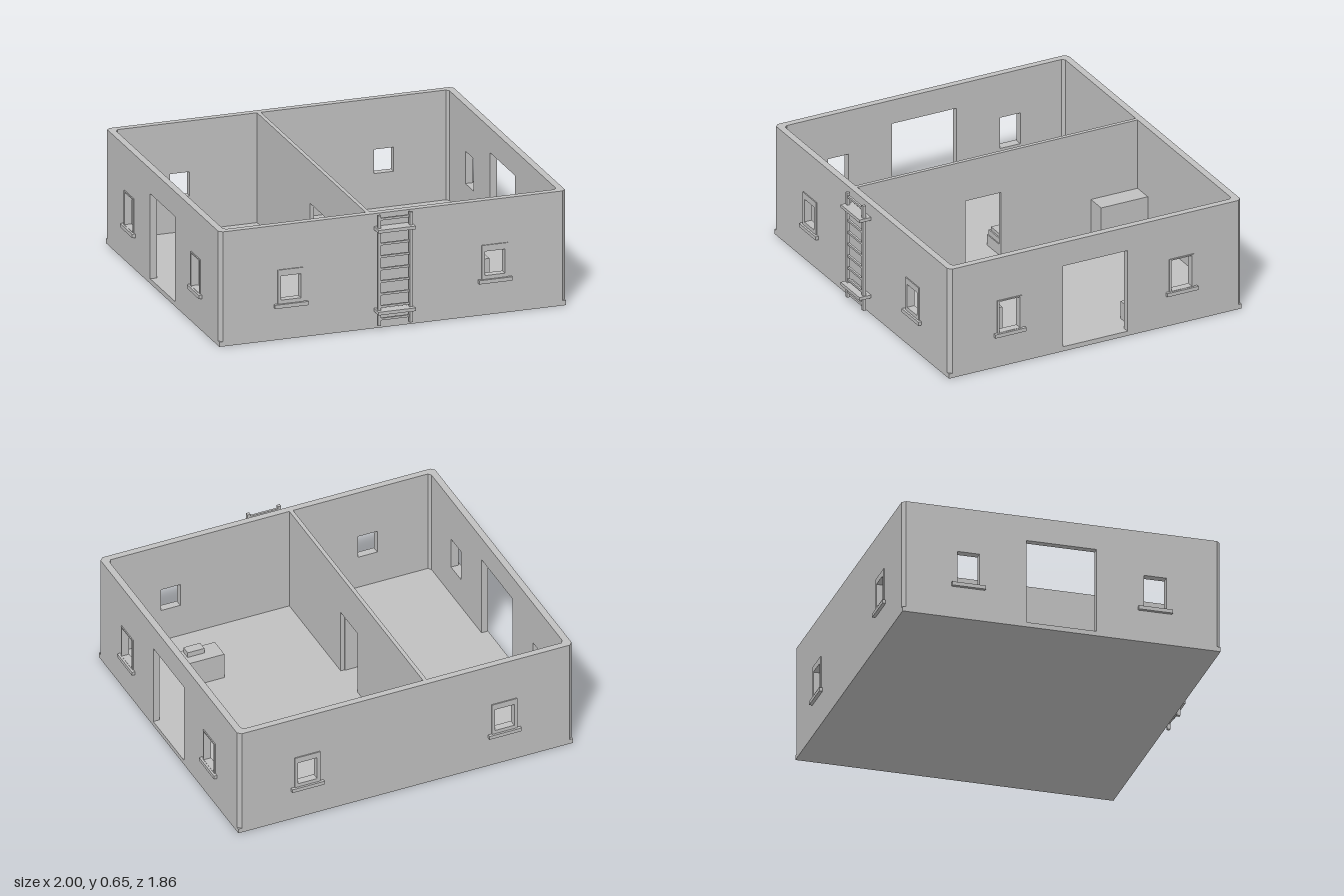
import * as THREE from 'three';

const X = 0.982, ZF = 0.86, ZB = -0.91, T = 0.038; // outer faces, wall thickness
const Y0 = 0.027, Y1 = 0.647; // floor top, wall top

export function createModel() {
  const house = new THREE.Group();
  house.name = 'roofless house';
  const grey = new THREE.MeshStandardMaterial({ color: 0xbfbfbf });
  grey.name = 'plain grey';

  const add = (name, geo, parent = house) => {
    const m = new THREE.Mesh(geo, grey);
    m.name = name;
    parent.add(m);
    return m;
  };
  // Box given by its limits
  const box = (name, x0, x1, y0, y1, z0, z1, parent) => {
    const m = add(name, new THREE.BoxGeometry(x1 - x0, y1 - y0, z1 - z0), parent);
    m.position.set((x0 + x1) / 2, (y0 + y1) / 2, (z0 + z1) / 2);
    return m;
  };
  const rect = (a, b, c, d) => [[a, c], [b, c], [b, d], [a, d]].map(p => new THREE.Vector2(...p));
  const extrude = (shape, depth) => new THREE.ExtrudeGeometry(shape, { depth, bevelEnabled: false });

  // Wall outline along u with an optional doorway and window holes
  const wallShape = (u0, u1, windows, door) => {
    const pts = [[u0, Y0]];
    if (door) pts.push([door[0], Y0], [door[0], door[2]], [door[1], door[2]], [door[1], Y0]);
    pts.push([u1, Y0], [u1, Y1], [u0, Y1]);
    const s = new THREE.Shape(pts.map(p => new THREE.Vector2(...p)));
    windows.forEach(w => s.holes.push(new THREE.Path(rect(...w))));
    return s;
  };
  // Thin raised surround
  const frameShape = (c, w) => {
    const s = new THREE.Shape(rect(c - 0.074, c + 0.074, 0.2, 0.395));
    s.holes.push(new THREE.Path(rect(...w)));
    return s;
  };

  // Floor slab
  box('floor', -X, X, 0, Y0, ZB, ZF);

  // Front and back walls, with window surrounds and sills
  const ends = [-0.578, 0.578];
  const endWin = ends.map(c => [c - 0.056, c + 0.056, 0.224, 0.36]);
  for (const [side, z, out] of [['front', ZF, 1], ['back', ZB, -1]]) {
    add(side + 'Wall', extrude(wallShape(-0.93, 0.93, endWin), T)).position.z = out > 0 ? z - T : z;
    ends.forEach((c, i) => {
      add(side + 'WindowFrame', extrude(frameShape(c, endWin[i]), 0.006)).position.z = out > 0 ? z : z - 0.006;
      const z2 = z + out * 0.018;
      box(side + 'WindowSill', c - 0.094, c + 0.094, 0.182, 0.203, Math.min(z, z2), Math.max(z, z2));
    });
  }

  // Side walls, each with a doorway and two taller windows
  const mids = [0.495, -0.545];
  const sideWin = mids.map(c => [c - 0.062, c + 0.062, 0.205, 0.388]);
  const sideways = (name, shape, depth, xMax) => {
    const m = add(name, extrude(shape, depth));
    m.rotation.y = -Math.PI / 2;
    m.position.x = xMax;
  };
  for (const [side, s] of [['left', 1], ['right', -1]]) {
    sideways(side + 'Wall', wallShape(ZB + 0.055, ZF - 0.055, sideWin, [-0.22, 0.17, 0.507]), T, s > 0 ? X : -X + T);
    mids.forEach((c, i) => {
      sideways(side + 'WindowFrame', frameShape(c, sideWin[i]), 0.006, s > 0 ? X + 0.006 : -X);
      const m = box(side + 'WindowSill', X, 1, 0.182, 0.203, c - 0.094, c + 0.094);
      m.position.x *= s;
    });
  }

  // Corner posts, chamfered outside and inside
  for (const sx of [1, -1]) for (const sz of [1, -1]) {
    const edge = sz > 0 ? ZF : ZB;
    const pts = [[0.93, 0], [0.962, 0], [X, 0.02], [X, 0.055], [X - T, 0.055], [0.93, T]]
      .map(([x, d]) => new THREE.Vector2(sx * x, -(edge - sz * d)));
    const post = add('cornerPost', extrude(new THREE.Shape(pts), Y1 - Y0));
    post.rotation.x = -Math.PI / 2;
    post.position.y = Y0;
  }

  // Inner partition with a lower doorway
  sideways('partition', wallShape(ZB + T, ZF - T, [], [-0.045, 0.17, 0.41]), 0.022, -0.118);

  // Furniture
  box('tallCabinet', -0.25, -0.14, Y0, 0.36, 0.165, 0.325);
  box('cupboard', -0.118, -0.003, Y0, 0.24, ZB + T, -0.59);
  box('bench', 0.83, X - T, Y0, 0.13, -0.545, -0.26);
  const stove = new THREE.Group();
  stove.name = 'table';
  house.add(stove);
  box('tableBody', 0.47, 0.68, Y0, 0.18, 0.375, 0.497, stove);
  box('tableBlock', 0.562, 0.66, 0.18, 0.21, 0.43, 0.485, stove);
  const bed = new THREE.Group();
  bed.name = 'bed';
  house.add(bed);
  box('bedFrame', -0.278, -0.14, Y0, 0.09, -0.375, -0.048, bed);
  box('mattress', -0.272, -0.146, 0.09, 0.12, -0.369, -0.054, bed);
  box('pillow', -0.262, -0.158, 0.12, 0.14, -0.14, -0.062, bed);

  // Ladder on the front wall
  const ladder = new THREE.Group();
  ladder.name = 'ladder';
  house.add(ladder);
  for (const s of [-1, 1]) {
    box('ladderRail', s * 0.09 - 0.009, s * 0.09 + 0.009, 0.025, Y1, 0.886, 0.904, ladder);
  }
  for (let i = 0; i < 9; i++) {
    const y = 0.061 + i * 0.0705;
    box('ladderRung', -0.082, 0.082, y - 0.006, y + 0.006, 0.889, 0.901, ladder);
  }
  for (const y of [0.104, 0.566]) {
    box('ladderBracket', -0.106, 0.106, y - 0.009, y + 0.009, ZF, 0.93, ladder);
  }
  return house;
}
